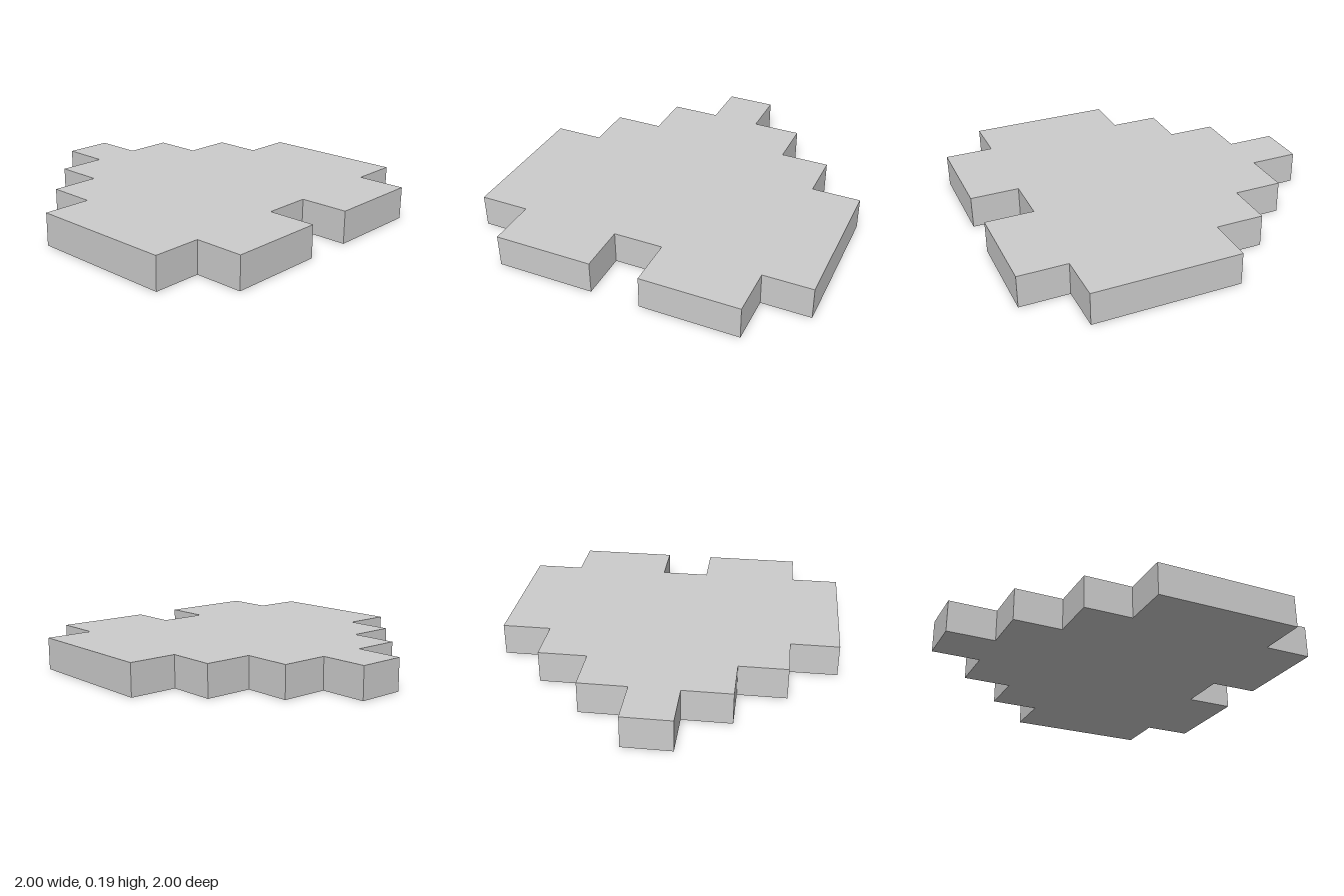
import * as THREE from 'three';

const CELL = 1 / 7; // half the width of one pixel step
const THICKNESS = 0.19;

// One half of the stepped outline, in half-pixel units
const HALF = [
  [-7, 1], [-5, 1], [-5, 3], [-3, 3], [-3, 5], [-1, 5],
  [-1, 7], [5, 7], [5, 5], [7, 5], [7, 1], [5, 1],
];

export function createModel() {
  const group = new THREE.Group();
  group.name = 'pixelHeart';

  // Mirror the half outline to close the heart
  const mirrored = HALF.map(([x, y]) => [x, -y]).reverse();
  const outline = [...HALF, ...mirrored].map(
    ([x, y]) => new THREE.Vector2(x * CELL, y * CELL)
  );

  // Flat slab lying on the ground
  const geometry = new THREE.ExtrudeGeometry(new THREE.Shape(outline), {
    depth: THICKNESS,
    bevelEnabled: false,
  });
  geometry.rotateX(-Math.PI / 2);

  const slab = new THREE.Mesh(
    geometry,
    new THREE.MeshStandardMaterial({ color: 0xcccccc, flatShading: true })
  );
  slab.name = 'heartSlab';
  group.add(slab);
  return group;
}
